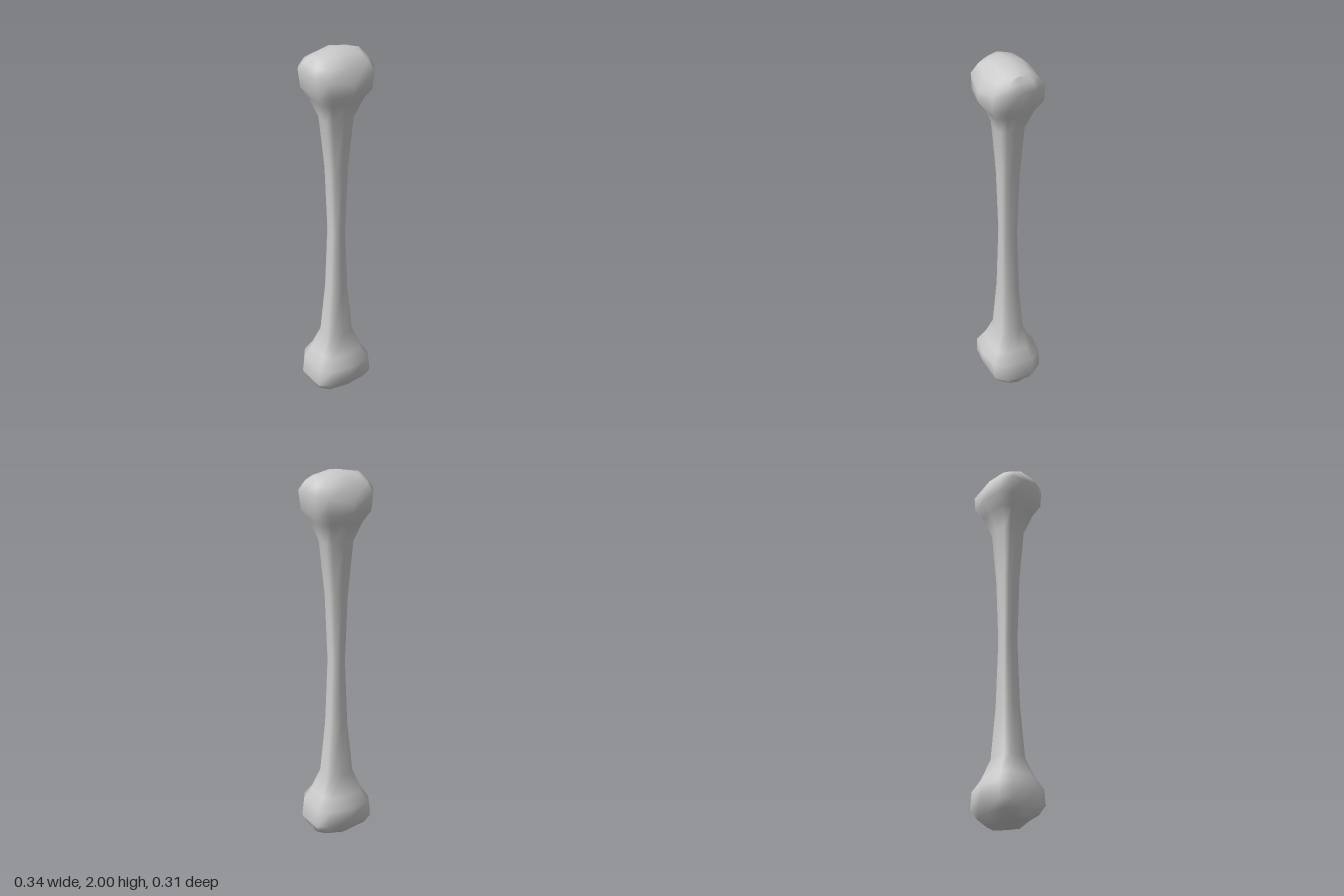
import * as THREE from 'three';
import { mergeVertices } from 'three/addons/utils/BufferGeometryUtils.js';

// Upper half of the bone: height, half width, half depth, drop of the ring towards its x ends
const upper = [
  [1.36, 0.052, 0.055, 0],
  [1.64, 0.08, 0.072, 0],
  [1.745, 0.12, 0.115, 0],
  [1.805, 0.157, 0.155, 0],
  [1.86, 0.17, 0.155, -0.04],
  [1.94, 0.15, 0.12, 0],
  [1.985, 0.13, 0.07, 0.02],
  [2.0, 0.13, 0, 0.025], // ridge line closing the knuckle
];

// Boxy twelve-point cross-section, as unit [x, z]
const section = [
  [1, 0], [1, 0.5], [0.76, 0.87], [0, 1], [-0.76, 0.87], [-1, 0.5],
  [-1, 0], [-1, -0.5], [-0.76, -0.87], [0, -1], [0.76, -0.87], [1, -0.5],
];

function boneGeometry() {
  // Mirror the upper rings about y = 1 for the lower half
  const lower = upper.map(([y, w, d, drop]) => [2 - y, w, d, -drop]).reverse();
  const rings = [...lower, [1, 0.037, 0.047, 0], ...upper];
  const n = section.length;
  const positions = [];
  const index = [];
  rings.forEach(([y, w, d, drop], r) => {
    for (const [x, z] of section) positions.push(x * w, y - drop * Math.abs(x), z * d);
    if (r === 0) return;
    for (let i = 0; i < n; i++) {
      const a = (r - 1) * n + i;
      const b = (r - 1) * n + ((i + 1) % n);
      index.push(a, a + n, b, b, a + n, b + n);
    }
  });
  let geometry = new THREE.BufferGeometry();
  geometry.setAttribute('position', new THREE.Float32BufferAttribute(positions, 3));
  geometry.setIndex(index);
  // Weld the ridge lines so shading runs smoothly over both ends
  geometry = mergeVertices(geometry, 1e-4);
  geometry.computeVertexNormals();
  return geometry;
}

export function createModel() {
  const group = new THREE.Group();
  group.name = 'bone';
  const shaft = new THREE.Mesh(boneGeometry(), new THREE.MeshStandardMaterial({ color: 0xcccccc }));
  shaft.name = 'shaftWithKnuckles';
  group.add(shaft);
  return group;
}
